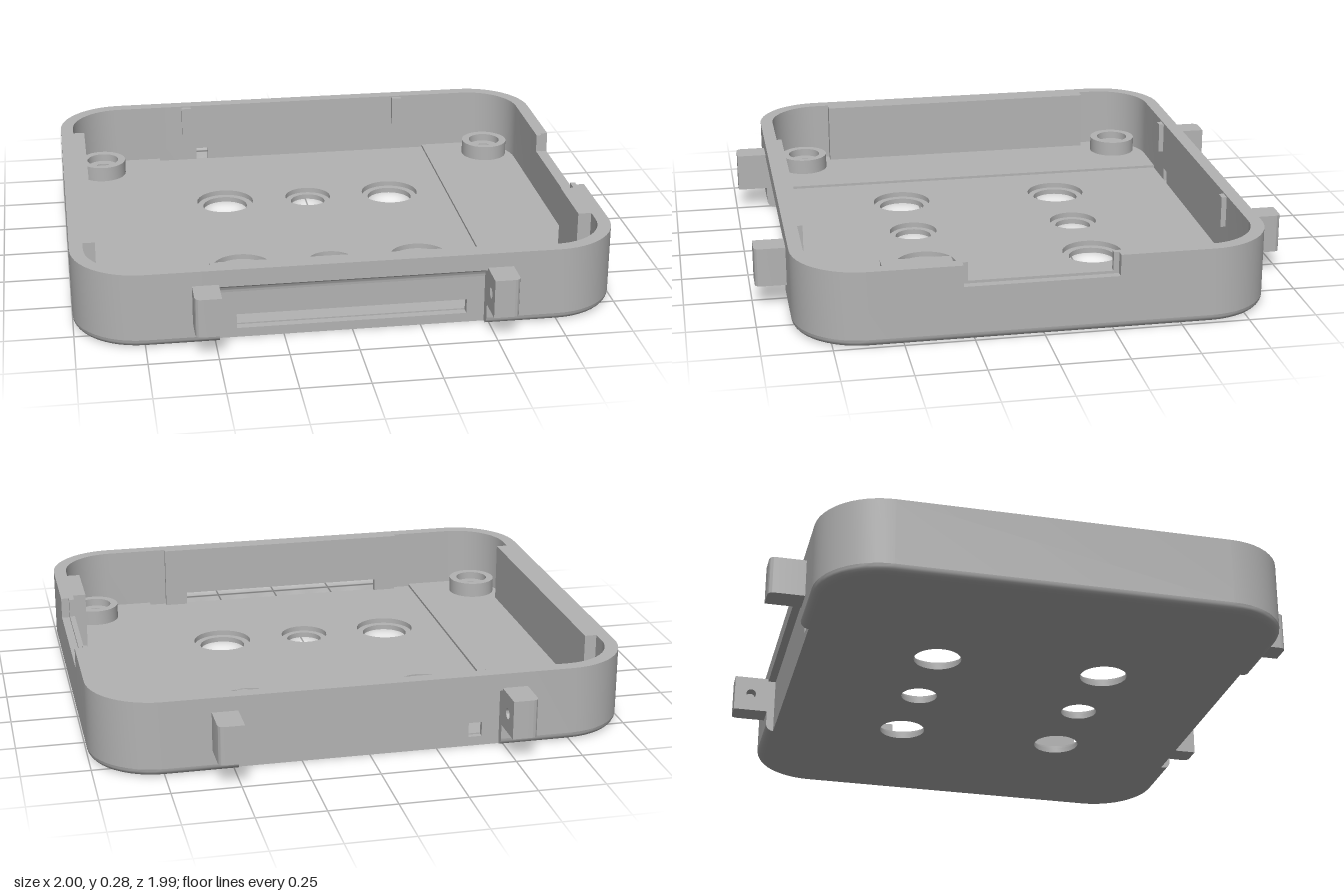
import * as THREE from 'three';
import { toCreasedNormals } from 'three/addons/utils/BufferGeometryUtils.js';

const H = 0.285, FRONT = 0.875, BACK = -0.86, FRONT_IN = 0.825, BACK_IN = -0.81;
const GAP = 0.485, FRONT_RECESS = 0.835, BACK_RECESS = -0.83, ROUND = 0.03;

// Corner arc in plan (x, z), running from +x towards +z
function arc(sx, sz, r) {
  const start = { '1,1': 0, '-1,1': 1, '-1,-1': 2, '1,-1': 3 }[`${sx},${sz}`] * Math.PI / 2;
  const pts = [];
  for (let i = 0; i <= 12; i++) {
    const a = start + (i / 12) * Math.PI / 2;
    pts.push([sx * 0.75 + r * Math.cos(a), (sz > 0 ? 0.625 : -0.61) + r * Math.sin(a)]);
  }
  return pts;
}

const toShape = (pts) => new THREE.Shape(pts.map(([a, b]) => new THREE.Vector2(a, b)));
const rect = (a0, a1, b0, b1) => [[a0, b0], [a1, b0], [a1, b1], [a0, b1]];

function circleHole(shape, x, y, r) {
  shape.holes.push(new THREE.Path().absarc(x, y, r, 0, Math.PI * 2, true));
}

// Plan shape (x, z) raised from y0 to y1
function slab(shape, y0, y1) {
  const g = new THREE.ExtrudeGeometry(shape, { depth: y1 - y0, bevelEnabled: false, curveSegments: 24 });
  g.rotateX(Math.PI / 2).translate(0, y1, 0);
  return toCreasedNormals(g, 0.6);
}

// Upright panel drawn in (x, y), with one rectangular opening
function panel(z0, z1, y0, y1, opening) {
  const s = toShape(rect(-GAP, GAP, y0, y1));
  s.holes.push(new THREE.Path(rect(...opening).map(([a, b]) => new THREE.Vector2(a, b))));
  return new THREE.ExtrudeGeometry(s, { depth: z1 - z0, bevelEnabled: false }).translate(0, 0, z0);
}

function box(x0, x1, y0, y1, z0, z1) {
  return new THREE.BoxGeometry(x1 - x0, y1 - y0, z1 - z0)
    .translate((x0 + x1) / 2, (y0 + y1) / 2, (z0 + z1) / 2);
}

const lathe = (pts) => toCreasedNormals(
  new THREE.LatheGeometry(pts.map(([r, y]) => new THREE.Vector2(r, y)), 40), 0.6);

// Base outline with the front and back recesses; only the outer edge is inset
function baseOutline(inset) {
  const r = 0.25 - inset, f = FRONT - inset, b = BACK + inset;
  return [
    ...arc(1, 1, r), [GAP, f], [GAP, FRONT_RECESS], [-GAP, FRONT_RECESS], [-GAP, f],
    ...arc(-1, 1, r), ...arc(-1, -1, r), [-GAP, b], [-GAP, BACK_RECESS],
    [GAP, BACK_RECESS], [GAP, b], ...arc(1, -1, r),
  ];
}

// Rounded bottom edge lofted through inset outlines
function roundedEdge() {
  const pos = [], idx = [], steps = 5;
  let n = 0;
  for (let i = 0; i <= steps; i++) {
    const a = (i / steps) * Math.PI / 2;
    const ring = baseOutline(ROUND * (1 - Math.sin(a)));
    n = ring.length;
    ring.forEach(([x, z]) => pos.push(x, ROUND * (1 - Math.cos(a)), z));
  }
  for (let i = 0; i < steps; i++) {
    for (let j = 0; j < n; j++) {
      const a = i * n + j, b = i * n + (j + 1) % n;
      idx.push(a, a + n, b, b, a + n, b + n);
    }
  }
  const g = new THREE.BufferGeometry();
  g.setAttribute('position', new THREE.Float32BufferAttribute(pos, 3));
  g.setIndex(idx);
  return toCreasedNormals(g, 0.6);
}

export function createModel() {
  const model = new THREE.Group();
  const grey = new THREE.MeshStandardMaterial({ color: 0xb3b3b3 });
  grey.name = 'plainGrey';
  const add = (name, geometry, x = 0, y = 0, z = 0) => {
    const m = new THREE.Mesh(geometry, grey);
    m.name = name;
    m.position.set(x, y, z);
    model.add(m);
  };

  // Floor with stepped through holes
  const holes = [];
  for (const z of [-0.32, 0.33]) {
    for (const [x, r, R] of [[-0.345, 0.09, 0.115], [0, 0.07, 0.093], [0.345, 0.09, 0.115]]) holes.push([x, z, r, R]);
  }
  const bottom = toShape(baseOutline(ROUND));
  const middle = toShape([[-0.58, BACK_IN], [0.58, BACK_IN], [0.58, FRONT_IN], [0.51, FRONT_IN],
    [0.51, 0.805], [-0.51, 0.805], [-0.51, FRONT_IN], [-0.58, FRONT_IN]]);
  for (const [x, z, r, R] of holes) {
    circleHole(bottom, x, z, r);
    circleHole(middle, x, z, R);
    add('steppedHole', lathe([[R, 0.04], [R, 0.02], [r, 0.02], [r, 0]]), x, 0, z);
  }
  add('bottom', new THREE.ShapeGeometry(bottom, 24).rotateX(Math.PI / 2));
  add('bottomEdge', roundedEdge());
  add('middleFloor', slab(middle, 0.03, 0.04));
  add('rightFloor', slab(toShape([[0.58, BACK_IN], ...arc(1, -1, 0.2), ...arc(1, 1, 0.2), [0.58, FRONT_IN]]), 0.03, 0.05));
  add('leftFloor', slab(toShape([[-0.58, FRONT_IN], ...arc(-1, 1, 0.2), ...arc(-1, -1, 0.2), [-0.58, BACK_IN]]), 0.03, 0.05));

  // Curved wall pieces between the front, back and side panels
  add('sideWall', slab(toShape([
    [-GAP, FRONT], ...arc(-1, 1, 0.25), ...arc(-1, -1, 0.25), [-GAP, BACK],
    [-GAP, BACK_IN], ...arc(-1, -1, 0.2).reverse(), ...arc(-1, 1, 0.2).reverse(), [-GAP, FRONT_IN],
  ]), ROUND, H));
  add('frontCornerWall', slab(toShape([
    [1, 0.29], ...arc(1, 1, 0.25), [GAP, FRONT], [GAP, FRONT_IN], ...arc(1, 1, 0.2).reverse(), [0.95, 0.29],
  ]), ROUND, H));
  add('backCornerWall', slab(toShape([
    [GAP, BACK], ...arc(1, -1, 0.25), [1, -0.27], [0.95, -0.27], ...arc(1, -1, 0.2).reverse(), [GAP, BACK_IN],
  ]), ROUND, H));

  // Recessed front panel with long slot, cove and lip
  add('frontPanel', panel(0.805, FRONT_RECESS, ROUND, 0.22, [-0.42, 0.42, 0.035, 0.09]));
  add('frontLip', box(-GAP, GAP, 0.22, H, 0.805, FRONT));
  for (const s of [-1, 1]) {
    add('frontPanelEnd', box(Math.min(s * GAP, s * 0.51), Math.max(s * GAP, s * 0.51), ROUND, H, 0.805, FRONT_IN));
  }
  const cove = new THREE.Shape();
  cove.moveTo(-FRONT_RECESS, 0.22);
  cove.lineTo(-FRONT, 0.22);
  cove.absarc(-FRONT, 0.18, 0.04, Math.PI / 2, 0, true);
  add('frontCove', toCreasedNormals(
    new THREE.ExtrudeGeometry(cove, { depth: 2 * GAP, bevelEnabled: false, curveSegments: 8 })
      .rotateY(Math.PI / 2).translate(-GAP, 0, 0), 0.6));

  // Recessed back panel with small opening and inner ribs
  add('backPanel', panel(BACK_RECESS, BACK_IN, ROUND, 0.22, [-0.42, -0.37, 0.035, 0.09]));
  add('backLip', box(-GAP, GAP, 0.22, H, BACK, BACK_IN));
  for (const x of [-0.46, 0.46]) add('innerRib', box(x - 0.02, x + 0.02, 0.16, 0.28, BACK_IN, -0.79));

  // Stepped notch in the side wall
  add('notchWall', box(0.95, 1, ROUND, 0.205, -0.27, 0.29));
  add('notchStep', box(0.95, 0.97, 0.205, 0.215, -0.25, 0.27));
  add('notchEnd', box(0.95, 0.97, 0.205, H, -0.27, -0.25));
  add('notchEnd', box(0.95, 0.97, 0.205, H, 0.27, 0.29));

  // Inner thickenings of the side walls
  add('longThickening', box(-0.95, -0.905, 0.04, H, -0.555, 0.57));
  add('shortThickening', box(0.9, 0.95, 0.04, H, 0.32, 0.57));

  // Screw bosses
  for (const x of [-0.83, 0.83]) {
    for (const z of [-0.68, 0.69]) {
      add('screwBoss', lathe([[0.095, 0.04], [0.095, 0.11], [0.065, 0.11], [0.065, 0.08],
        [0.03, 0.08], [0.03, 0.055], [0, 0.055]]), x, 0, z);
    }
  }

  // Hinge tabs: bored inner half, outer half with a rounded corner
  for (const sx of [-1, 1]) {
    for (const sz of [-1, 1]) {
      const wall = sz > 0 ? FRONT : -BACK, end = sz > 0 ? 0.99 : 0.995, r = 0.025;
      const half = new THREE.Shape();
      half.moveTo(sx * 0.53, sz * wall);
      half.lineTo(sx * 0.58, sz * wall);
      half.lineTo(sx * 0.58, sz * (end - r));
      half.quadraticCurveTo(sx * 0.58, sz * end, sx * (0.58 - r), sz * end);
      half.lineTo(sx * 0.53, sz * end);
      add('hingeTabOuter', slab(half, 0.085, 0.23));
      const bored = toShape(rect(-sz * wall, -sz * end, 0.085, 0.23));
      circleHole(bored, -sz * (wall + end) / 2, 0.157, 0.02);
      add('hingeTabInner', toCreasedNormals(
        new THREE.ExtrudeGeometry(bored, { depth: 0.045, bevelEnabled: false })
          .rotateY(Math.PI / 2).translate(sx > 0 ? GAP : -0.53, 0, 0), 0.6));
    }
  }
  return model;
}
